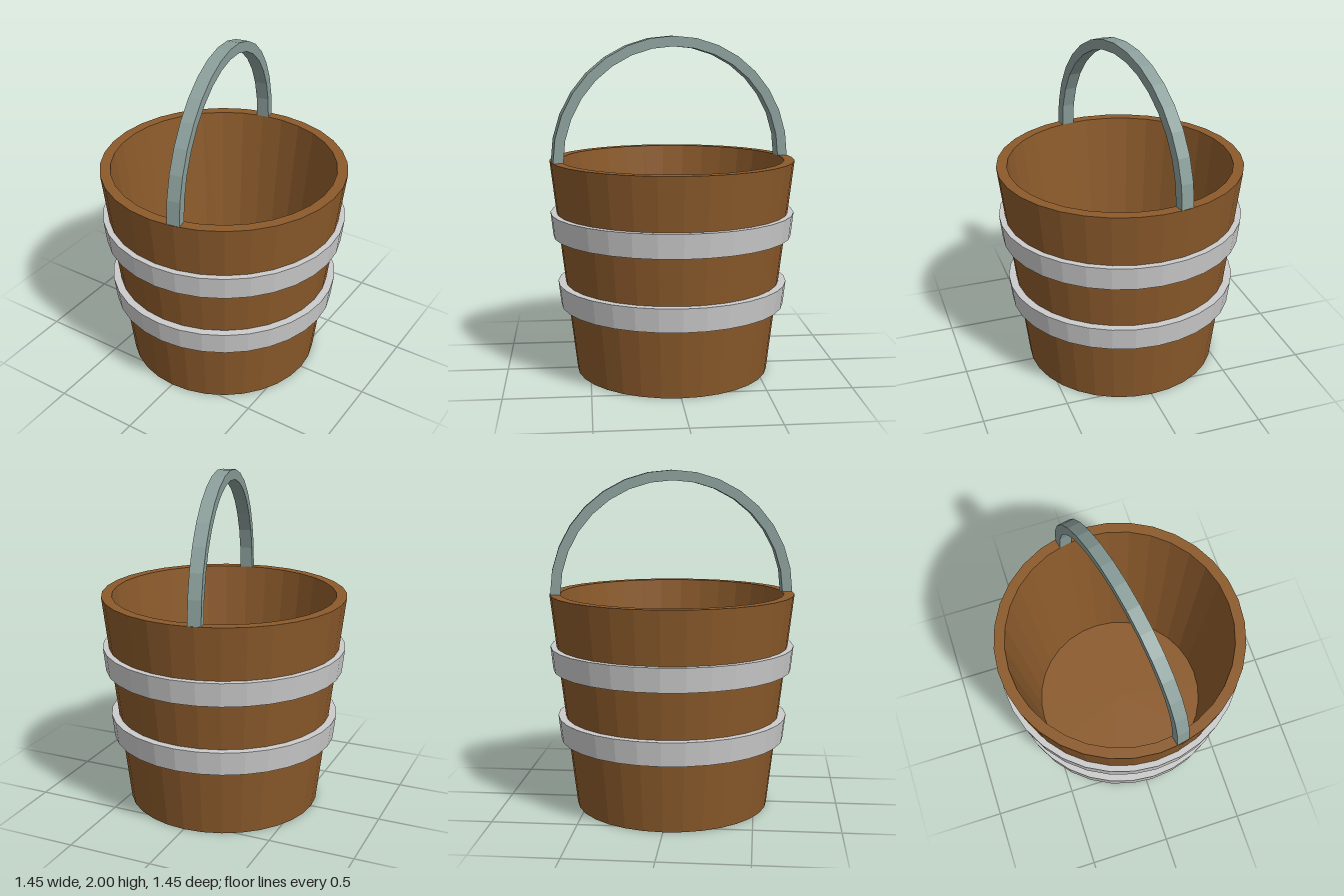
import * as THREE from 'three';

const SIDES = 32;
const HEIGHT = 1.28;
const R_BOTTOM = 0.577;
const R_TOP = 0.725;

const material = (color) => new THREE.MeshStandardMaterial({ color, flatShading: true });

// Outer radius of the tapered wall at height y
const wallRadius = (y) => THREE.MathUtils.lerp(R_BOTTOM, R_TOP, y / HEIGHT);

function lathe(name, profile, mat) {
  const points = profile.map(([r, y]) => new THREE.Vector2(r, y));
  const mesh = new THREE.Mesh(new THREE.LatheGeometry(points, SIDES), mat);
  mesh.name = name;
  return mesh;
}

export function createModel() {
  const group = new THREE.Group();
  group.name = 'bucket';

  // Wooden tub: base, outer wall, rim, inner wall, floor
  group.add(lathe('tub', [
    [0, 0], [R_BOTTOM, 0], [R_TOP, HEIGHT],
    [0.663, HEIGHT], [0.533, 0.15], [0, 0.15],
  ], material(0x8b5a2b)));

  // Metal hoops following the taper, sunk slightly into the wall
  const metal = material(0xcccccc);
  const hoops = [
    ['lowerHoop', 0.41, 0.55, 0.67, 0.686],
    ['upperHoop', 0.83, 0.97, 0.71, 0.725],
  ];
  for (const [name, y0, y1, r0, r1] of hoops) {
    group.add(lathe(name, [
      [wallRadius(y0) - 0.02, y0], [r0, y0], [r1, y1], [wallRadius(y1) - 0.02, y1],
    ], metal));
  }

  // Half-ring handle standing on the rim, turned slightly off the z axis
  const arch = new THREE.Shape();
  arch.absarc(0, 0, 0.72, 0, Math.PI, false);
  arch.absarc(0, 0, 0.66, Math.PI, 0, true);
  const width = 0.076;
  const handleGeometry = new THREE.ExtrudeGeometry(arch, {
    depth: width, bevelEnabled: false, curveSegments: 8,
  });
  handleGeometry.translate(0, 0, -width / 2);
  const handle = new THREE.Mesh(handleGeometry, material(0x8a9e9a));
  handle.name = 'handle';
  handle.position.y = HEIGHT;
  handle.rotation.y = -Math.PI / 2 + Math.PI / 16;
  group.add(handle);

  return group;
}
